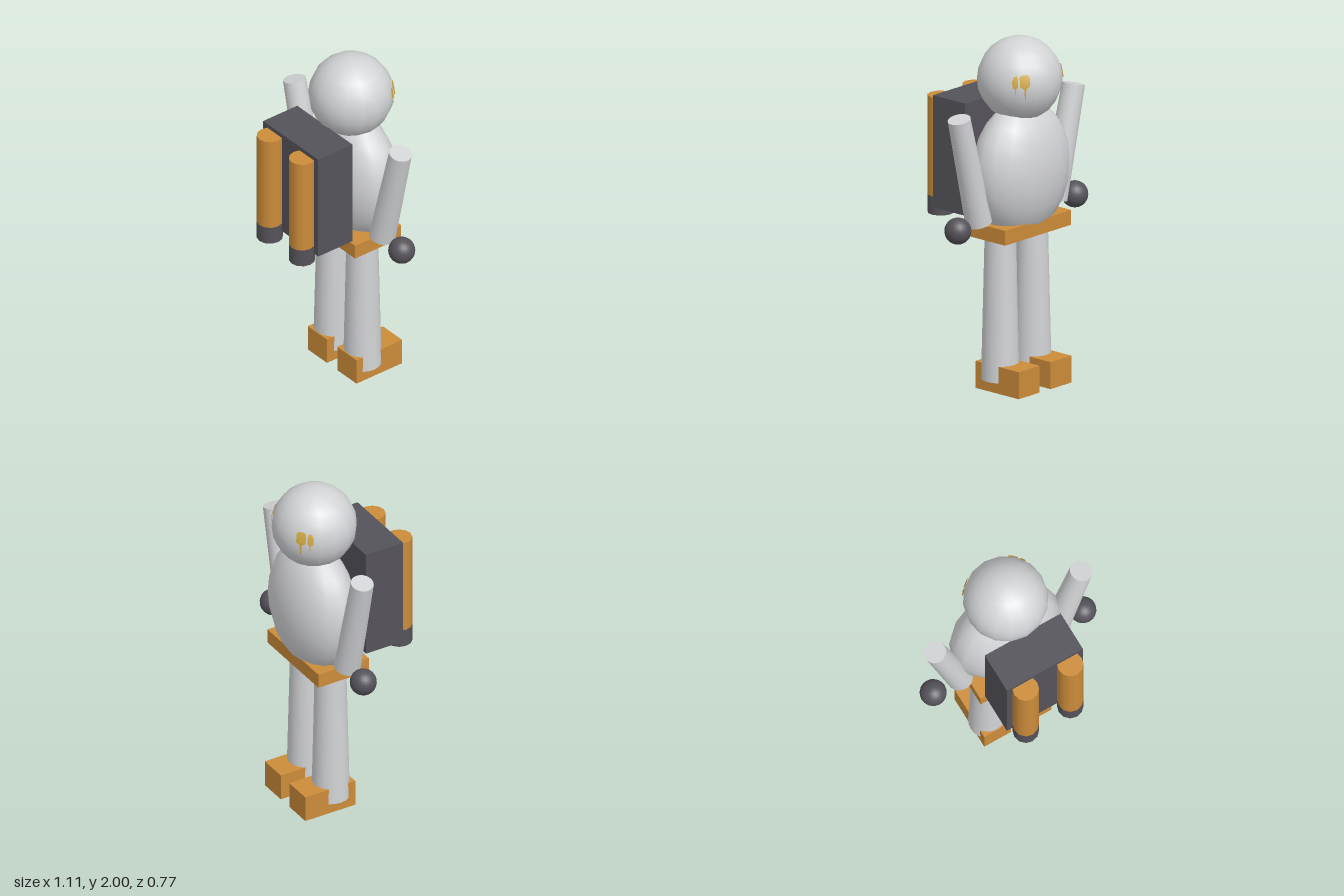
import * as THREE from 'three';

const mat = (name, color) => {
  const m = new THREE.MeshStandardMaterial({ color });
  m.name = name;
  return m;
};

export function createModel() {
  const model = new THREE.Group();
  model.name = 'jetpackFigure';
  const suit = mat('paleGrey', 0xd2d3d5);
  const orange = mat('orange', 0xcc8c3a);
  const dark = mat('darkGrey', 0x55535a);
  const gold = mat('gold', 0xd4ac45);
  gold.side = THREE.DoubleSide;

  const add = (name, geo, material, x = 0, y = 0, z = 0) => {
    const mesh = new THREE.Mesh(geo, material);
    mesh.name = name;
    mesh.position.set(x, y, z);
    model.add(mesh);
    return mesh;
  };
  const box = (name, m, w, h, d, x, y, z) => add(name, new THREE.BoxGeometry(w, h, d), m, x, y, z);

  // Cylinder between two points, with its own radius at each end
  const limb = (name, m, a, b, ra, rb, sides) => {
    const dir = new THREE.Vector3().subVectors(b, a);
    const mesh = add(name, new THREE.CylinderGeometry(rb, ra, dir.length(), sides), m);
    mesh.position.copy(a).add(b).multiplyScalar(0.5);
    mesh.quaternion.setFromUnitVectors(new THREE.Vector3(0, 1, 0), dir.normalize());
    return mesh;
  };
  const v = (x, y, z) => new THREE.Vector3(x, y, z);

  // Head, torso, belt and backpack
  const headY = 1.763, headZ = -0.148, headR = 0.237;
  add('head', new THREE.SphereGeometry(headR, 16, 12), suit, 0, headY, headZ);
  const torso = add('torso', new THREE.SphereGeometry(1, 16, 12), suit, 0, 1.25, -0.157);
  torso.scale.set(0.335, 0.385, 0.208);
  box('belt', orange, 0.54, 0.085, 0.325, 0, 0.9275, -0.1225);
  box('backpack', dark, 0.485, 0.645, 0.24, 0, 1.3075, 0.158);

  // Eye patches: outlines in (degrees from facing direction, height above head centre)
  const eyeOutlines = [
    [[34, 0.02], [34, 0.07], [37, 0.082], [45, 0.082], [48, 0.068], [47, 0.015],
      [42, 0.005], [40.5, -0.055], [39.5, -0.055], [39, 0.005]],
    [[50, 0.02], [50, 0.06], [52, 0.076], [56, 0.072], [58, 0.05], [57.5, 0.012],
      [54, 0.005], [53.3, -0.03], [52.7, -0.03], [52.3, 0.005]],
  ];
  const eyePatch = (points, side) => {
    const shape = new THREE.Shape(points.map(([a, h]) => new THREE.Vector2(a / 250, h)));
    const geo = new THREE.ShapeGeometry(shape);
    const p = geo.attributes.position;
    for (let i = 0; i < p.count; i++) {
      const a = THREE.MathUtils.degToRad(p.getX(i) * 250), h = p.getY(i);
      const r = Math.sqrt(0.2405 ** 2 - h * h);
      p.setXYZ(i, side * Math.sin(a) * r, h, -Math.cos(a) * r);
      const n = v(p.getX(i), h, p.getZ(i)).normalize();
      geo.attributes.normal.setXYZ(i, n.x, n.y, n.z);
    }
    // Turn the faces outward on either side of the head
    if (side > 0) {
      const idx = geo.index.array;
      for (let i = 0; i < idx.length; i += 3) [idx[i], idx[i + 1]] = [idx[i + 1], idx[i]];
    }
    return geo;
  };

  for (const s of [1, -1]) {
    const label = s > 0 ? 'left' : 'right';
    for (const outline of eyeOutlines)
      add(label + 'Eye', eyePatch(outline, s), gold, 0, headY, headZ);

    // Arm and floating hand
    limb(label + 'Arm', suit, v(s * 0.308, 0.992, -0.122), v(s * 0.468, 1.622, -0.122), 0.075, 0.064, 20);
    add(label + 'Hand', new THREE.SphereGeometry(0.075, 20, 14), dark, s * 0.478, 0.983, -0.122);

    // Leg and boot
    limb(label + 'Leg', suit, v(s * 0.132, 0.06, -0.122), v(s * 0.13, 0.95, -0.122), 0.106, 0.086, 20);
    box(label + 'Boot', orange, 0.17, 0.155, 0.322, s * 0.13, 0.0775, -0.175);

    // Jet tank and nozzle
    limb(label + 'Tank', orange, v(s * 0.142, 1.035, 0.312), v(s * 0.142, 1.605, 0.312), 0.073, 0.073, 12);
    limb(label + 'Nozzle', dark, v(s * 0.142, 0.93, 0.312), v(s * 0.142, 1.035, 0.312), 0.073, 0.073, 12);
  }
  return model;
}
